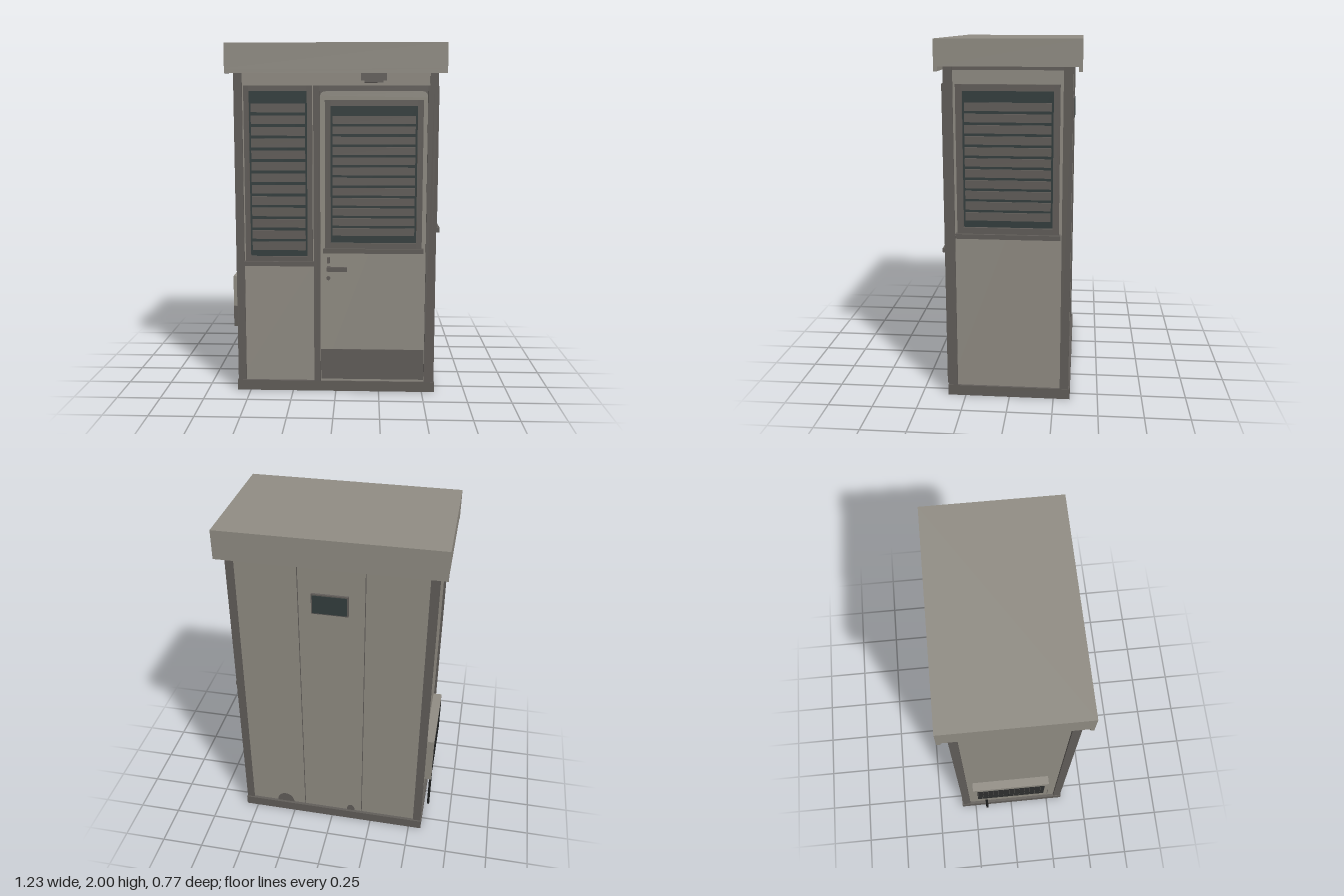
import * as THREE from 'three';

const mat = (name, color, side = THREE.FrontSide) => {
  const m = new THREE.MeshStandardMaterial({ color, side });
  m.name = name;
  return m;
};

export function createModel() {
  const root = new THREE.Group();
  root.name = 'guardBooth';
  const panel = mat('panelGrey', 0x918d84);
  const trim = mat('trimGrey', 0x625e5a);
  const glass = mat('darkGlass', 0x343e3e);
  const black = mat('black', 0x1e1f1f);

  // Box given by its minimum and maximum corners
  const box = (name, m, x0, x1, y0, y1, z0, z1, parent = root) => {
    const mesh = new THREE.Mesh(new THREE.BoxGeometry(x1 - x0, y1 - y0, z1 - z0), m);
    mesh.position.set((x0 + x1) / 2, (y0 + y1) / 2, (z0 + z1) / 2);
    mesh.name = name;
    parent.add(mesh);
    return mesh;
  };

  // Louvred window facing +z, with the wall surface at z = 0
  const louvreWindow = (name, x0, x1, y0, y1, border, depth, count, first, last) => {
    const g = new THREE.Group();
    g.name = name;
    const gx0 = x0 + border, gx1 = x1 - border, gy0 = y0 + border, gy1 = y1 - border;
    box('glassPane', glass, gx0, gx1, gy0, gy1, -0.005, 0.004, g);
    box('frameLeft', trim, gx1, x1, y0, y1, -0.005, depth, g);
    box('frameRight', trim, x0, gx0, y0, y1, -0.005, depth, g);
    box('frameTop', trim, gx0, gx1, gy1, y1, -0.005, depth, g);
    box('frameBottom', trim, gx0, gx1, y0, gy0, -0.005, depth, g);
    box('sill', trim, x0 - 0.01, x1 + 0.01, y0 - 0.026, y0, -0.005, depth + 0.015, g);
    const pitch = (first - last) / (count - 1);
    for (let i = 0; i < count; i++) {
      const y = first - i * pitch, h = pitch * 0.37;
      box('slat', trim, gx0 + 0.011, gx1 - 0.011, y - h, y + h, 0, 0.014, g);
    }
    root.add(g);
    return g;
  };

  // Base, walls and roof
  box('base', trim, -0.577, 0.573, 0, 0.06, -0.343, 0.35);
  box('walls', panel, -0.56, 0.56, 0.06, 1.86, -0.325, 0.336);
  box('roof', panel, -0.615, 0.615, 1.86, 2, -0.383, 0.385);
  box('roofLipFront', panel, -0.615, 0.615, 1.835, 1.86, 0.365, 0.385);
  box('roofLipBack', panel, -0.615, 0.615, 1.835, 1.86, -0.383, -0.363);
  for (const s of [-1, 1]) {
    box('frontPost', trim, s > 0 ? 0.525 : -0.572, s > 0 ? 0.57 : -0.525, 0.06, 1.86, 0.296, 0.345);
    box('backPost', trim, s > 0 ? 0.525 : -0.572, s > 0 ? 0.57 : -0.525, 0.06, 1.86, -0.334, -0.286);
    box('sideTopRail', trim, s > 0 ? 0.55 : -0.565, s > 0 ? 0.565 : -0.55, 1.84, 1.86, -0.286, 0.296);
  }

  // Front and side windows
  louvreWindow('frontWindow', -0.516, -0.132, 0.773, 1.767, 0.029, 0.015, 13, 1.645, 0.862)
    .position.z = 0.336;
  const side = louvreWindow('sideWindow', -0.28, 0.27, 0.963, 1.767, 0.034, 0.02, 11, 1.65, 1.058);
  side.rotation.y = Math.PI / 2;
  side.position.x = 0.56;

  // Door frame
  box('doorPostRight', trim, -0.125, -0.088, 0.06, 1.767, 0.33, 0.358);
  box('doorPostLeft', trim, 0.512, 0.545, 0.06, 1.767, 0.33, 0.358);
  box('doorHead', trim, -0.088, 0.512, 1.7, 1.767, 0.33, 0.34);
  box('doorHeadBar', trim, -0.088, 0.512, 1.737, 1.767, 0.33, 0.358);

  // Door leaf with rounded top corners
  const r = 0.035, dx0 = -0.088, dx1 = 0.512, top = 1.737;
  const leafShape = new THREE.Shape();
  leafShape.moveTo(dx0, 0.062);
  leafShape.lineTo(dx1, 0.062);
  leafShape.lineTo(dx1, top - r);
  leafShape.quadraticCurveTo(dx1, top, dx1 - r, top);
  leafShape.lineTo(dx0 + r, top);
  leafShape.quadraticCurveTo(dx0, top, dx0, top - r);
  const leaf = new THREE.Mesh(
    new THREE.ExtrudeGeometry(leafShape, { depth: 0.012, bevelEnabled: false, curveSegments: 6 }), panel);
  leaf.position.z = 0.336;
  leaf.name = 'doorLeaf';
  root.add(leaf);
  box('kickPlate', trim, -0.085, 0.51, 0.075, 0.254, 0.346, 0.352);
  louvreWindow('doorWindow', -0.06, 0.488, 0.852, 1.688, 0.032, 0.016, 12, 1.579, 0.947)
    .position.z = 0.348;

  // Door handle and locks
  box('handleStem', trim, -0.05, -0.03, 0.722, 0.746, 0.346, 0.38);
  box('handleLever', trim, -0.05, 0.066, 0.722, 0.746, 0.374, 0.388);
  box('latch', trim, -0.05, -0.034, 0.767, 0.8, 0.346, 0.375);
  const lock = new THREE.Mesh(new THREE.CylinderGeometry(0.011, 0.011, 0.016, 16), trim);
  lock.rotation.x = Math.PI / 2;
  lock.position.set(-0.042, 0.677, 0.354);
  lock.name = 'lock';
  root.add(lock);

  // Lamp under the front eave
  box('doorLamp', trim, 0.14, 0.283, 1.795, 1.845, 0.33, 0.384);
  box('doorLampLens', trim, 0.16, 0.265, 1.783, 1.795, 0.34, 0.378);

  // Back wall: seams, small window, stains near the floor
  for (const x of [0.18, -0.19])
    box('backSeam', trim, x - 0.002, x + 0.002, 0.06, 1.86, -0.327, -0.324);
  box('backWindowFrame', trim, -0.1, 0.105, 1.534, 1.656, -0.338, -0.32);
  box('backWindowPane', glass, -0.093, 0.098, 1.541, 1.649, -0.342, -0.335);
  for (const [x, w, h] of [[0.31, 0.055, 0.065], [-0.12, 0.026, 0.045]]) {
    const mound = new THREE.Mesh(new THREE.CircleGeometry(1, 12, 0, Math.PI), trim);
    mound.scale.set(w, h, 1);
    mound.rotation.y = Math.PI;
    mound.position.set(x, 0.06, -0.328);
    mound.name = 'backPatch';
    root.add(mound);
  }

  // Air conditioner on the right wall with its drain pipe
  box('coolerCase', panel, -0.612, -0.555, 0.35, 0.655, -0.25, 0.23);
  box('coolerEndPlate', trim, -0.612, -0.56, 0.35, 0.475, 0.229, 0.233);
  for (let i = 0; i < 7; i++) {
    const y = 0.415 + i * 0.032;
    box('coolerSlot', black, -0.615, -0.61, y - 0.008, y + 0.008, -0.225, 0.205);
  }
  const pipe = new THREE.Mesh(new THREE.CylinderGeometry(0.008, 0.008, 0.29, 10), black);
  pipe.position.set(-0.605, 0.205, -0.17);
  pipe.name = 'drainPipe';
  root.add(pipe);

  return root;
}
